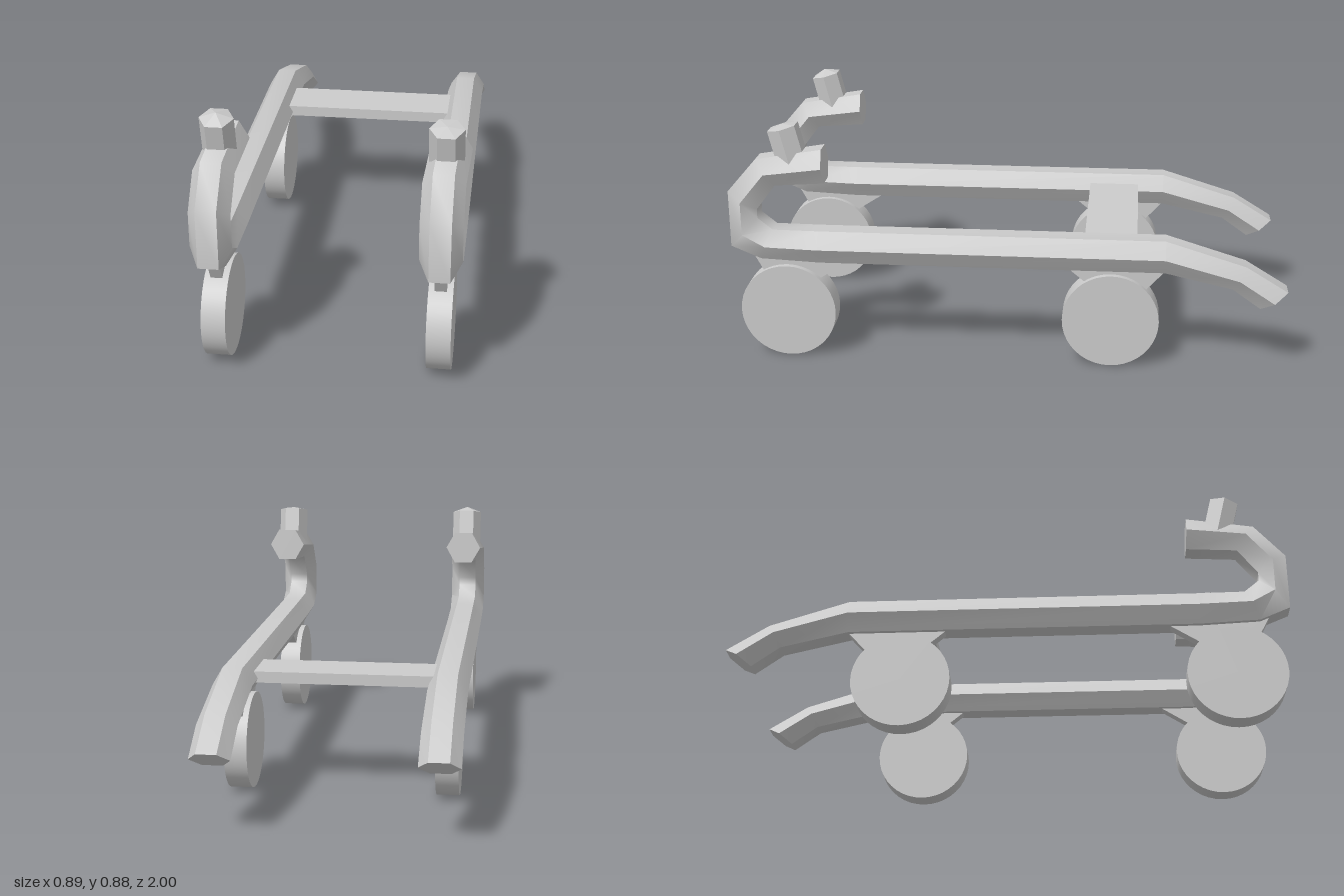
import * as THREE from 'three';
import { toCreasedNormals } from 'three/addons/utils/BufferGeometryUtils.js';

// Runner path from tail to curled front: [upper z, upper y, lower z, lower y, x shift]
const PATH = [
  [-0.995, 0.305, -0.90, 0.24, 0],
  [-0.845, 0.397, -0.80, 0.311, 0],
  [-0.56, 0.485, -0.56, 0.365, 0],
  [0.68, 0.485, 0.68, 0.365, 0],
  [0.845, 0.487, 0.893, 0.375, 0],
  [0.898, 0.53, 1.0, 0.42, 0],
  [0.898, 0.563, 1.0, 0.627, 0],
  [0.828, 0.654, 0.893, 0.75, 0],
  [0.649, 0.67, 0.654, 0.794, 0.01],
];

// Six-sided bar swept through the path sections
function runnerGeometry() {
  const rings = PATH.map(([az, ay, bz, by, dx]) => {
    const mz = (az + bz) / 2, my = (ay + by) / 2;
    return [
      [dx + 0.035, ay, az], [dx + 0.07, my, mz], [dx + 0.035, by, bz],
      [dx - 0.035, by, bz], [dx - 0.07, my, mz], [dx - 0.035, ay, az],
    ];
  });
  const pos = [];
  const tri = (a, b, c) => pos.push(...a, ...b, ...c);
  for (let j = 0; j < rings.length - 1; j++) {
    const r = rings[j], s = rings[j + 1];
    for (let k = 0; k < 6; k++) {
      const n = (k + 1) % 6;
      tri(r[k], s[k], s[n]);
      tri(r[k], s[n], r[n]);
    }
  }
  const first = rings[0], last = rings[rings.length - 1];
  for (let k = 1; k < 5; k++) {
    tri(first[0], first[k], first[k + 1]);
    tri(last[0], last[k + 1], last[k]);
  }
  const geo = new THREE.BufferGeometry();
  geo.setAttribute('position', new THREE.Float32BufferAttribute(pos, 3));
  return toCreasedNormals(geo, 0.9);
}

// Thin plate from [z, y] corners, centred on x = 0
function plateGeometry(points, width) {
  const shape = new THREE.Shape(points.map(([z, y]) => new THREE.Vector2(-z, y)));
  const geo = new THREE.ExtrudeGeometry(shape, { depth: width, bevelEnabled: false });
  geo.translate(0, 0, -width / 2);
  geo.rotateY(Math.PI / 2);
  return geo;
}

// Six-sided peg with a low pointed top
function pegGeometry(rise) {
  const profile = [[0, -0.075], [0.058, -0.075], [0.058, 0.06], [0, 0.06 + rise]]
    .map(([r, y]) => new THREE.Vector2(r, y));
  const geo = new THREE.LatheGeometry(profile, 6, Math.PI / 2);
  return geo;
}

export function createModel() {
  const group = new THREE.Group();
  const mat = new THREE.MeshStandardMaterial({ color: 0xcccccc });
  const flat = new THREE.MeshStandardMaterial({ color: 0xcccccc, flatShading: true });
  const add = (parent, name, geo, material, x = 0, y = 0, z = 0) => {
    const mesh = new THREE.Mesh(geo, material);
    mesh.name = name;
    mesh.position.set(x, y, z);
    parent.add(mesh);
    return mesh;
  };

  const runner = runnerGeometry();
  const wheel = new THREE.CylinderGeometry(0.174, 0.174, 0.082, 40).rotateZ(Math.PI / 2);
  const frontBracket = plateGeometry([[0.95, 0.435], [0.85, 0.25], [0.76, 0.25], [0.58, 0.365], [0.58, 0.40]], 0.04);
  const rearBracket = plateGeometry([[-0.217, 0.40], [-0.217, 0.365], [-0.355, 0.25], [-0.455, 0.25], [-0.56, 0.365], [-0.56, 0.40]], 0.04);

  for (const [side, x, rise] of [['left', 0.365, 0.01], ['right', -0.38, 0.022]]) {
    const half = new THREE.Group();
    half.name = side + 'Side';
    half.position.x = x;
    group.add(half);

    add(half, side + 'Runner', runner, mat);
    add(half, side + 'FrontBracket', frontBracket, flat);
    add(half, side + 'RearBracket', rearBracket, flat);
    add(half, side + 'FrontWheel', wheel, mat, 0, 0.175, 0.802);
    add(half, side + 'RearWheel', wheel, mat, 0, 0.175, -0.37);
    add(half, side + 'Peg', pegGeometry(rise), flat, 0.002, 0.805, 0.782).rotation.x = 0.24;
  }

  // Bar joining the two runners
  add(group, 'crossbar', new THREE.BoxGeometry(0.7, 0.04, 0.19), flat, -0.0075, 0.43, -0.365);
  return group;
}
